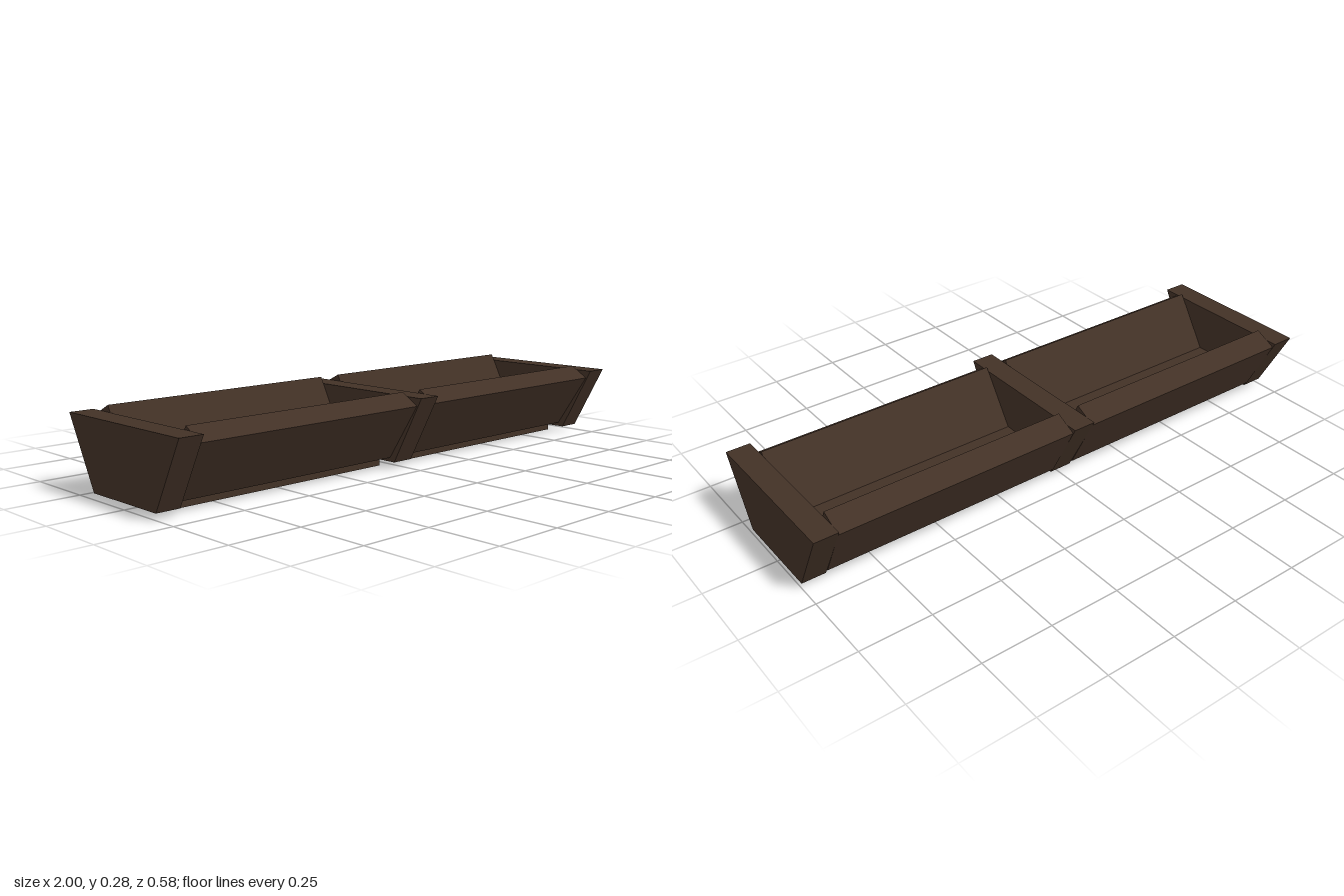
import * as THREE from 'three';

export function createModel() {
  const group = new THREE.Group();
  group.name = 'trough';
  const darkWood = new THREE.MeshStandardMaterial({ color: 0x423126 });
  darkWood.name = 'darkWood';

  // Extrudes a (z, y) cross-section along x, between x0 and x1
  function prism(name, points, x0, x1) {
    const shape = new THREE.Shape(points.map(([z, y]) => new THREE.Vector2(-z, y)));
    const geometry = new THREE.ExtrudeGeometry(shape, { depth: x1 - x0, bevelEnabled: false });
    geometry.rotateY(Math.PI / 2);
    geometry.translate(x0, 0, 0);
    const mesh = new THREE.Mesh(geometry, darkWood);
    mesh.name = name;
    group.add(mesh);
  }

  // Tapered end walls and middle divider
  const wall = [[0.29, 0.255], [-0.29, 0.255], [-0.165, 0.021], [0.166, 0.021]];
  prism('rightEndWall', wall, -1, -0.917);
  prism('middleDivider', wall, -0.041, 0.041);
  prism('leftEndWall', wall, 0.917, 1);

  // Thick planks of each bay: sloped front, sloped back, flat floor
  const planks = {
    frontPlank: [[0.205, 0.268], [0.08, 0.077], [0.146, 0.035], [0.27, 0.227]],
    backPlank: [[-0.203, 0.278], [-0.28, 0.239], [-0.178, 0.039], [-0.101, 0.078]],
    floorPlank: [[0.096, 0], [0.096, 0.08], [-0.13, 0.08], [-0.13, 0]],
  };
  for (const [side, x0, x1] of [['right', -0.917, -0.041], ['left', 0.041, 0.917]]) {
    for (const [name, section] of Object.entries(planks)) {
      prism(side + name[0].toUpperCase() + name.slice(1), section, x0, x1);
    }
  }
  return group;
}
